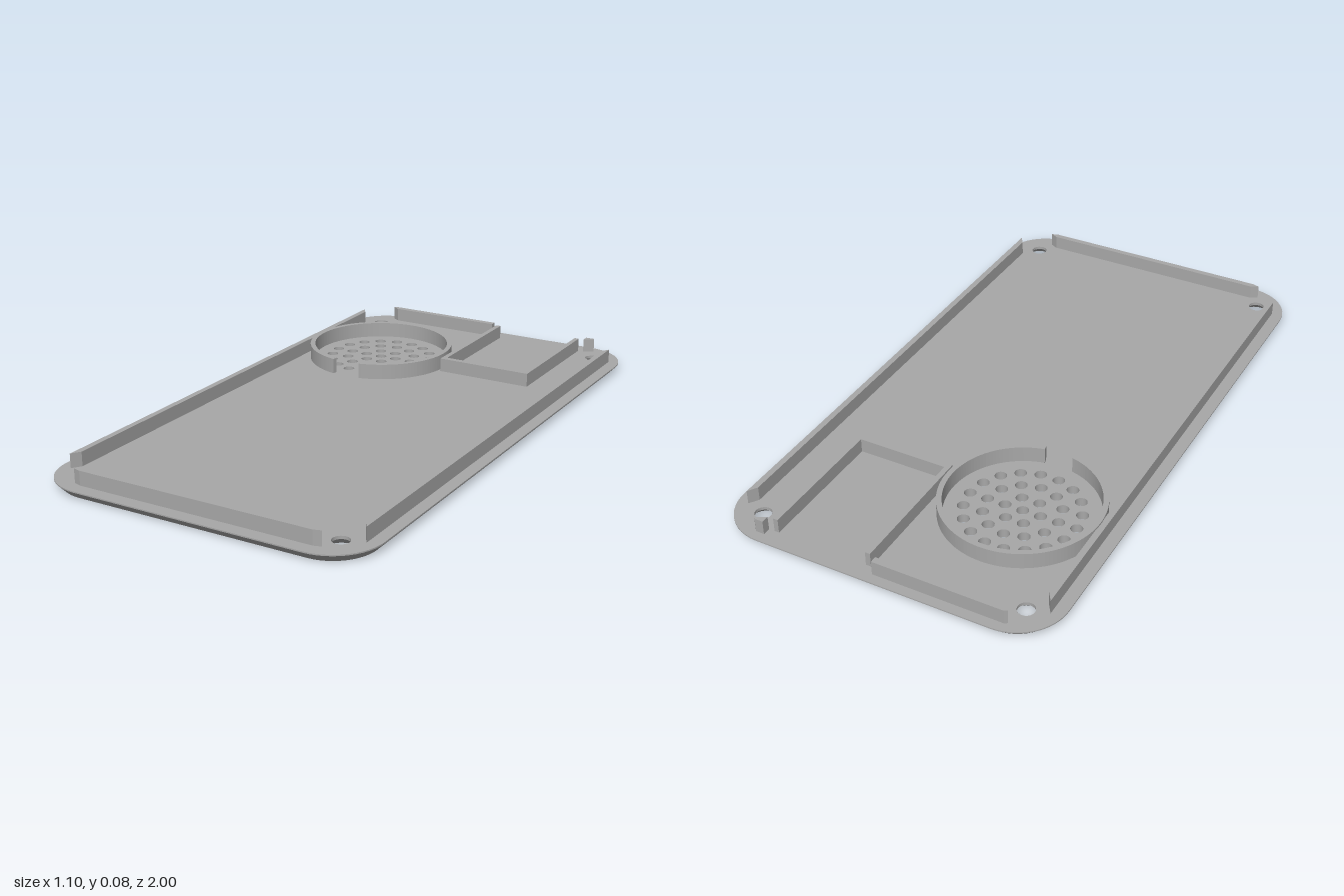
import * as THREE from 'three';

const TOP = 0.03, CHAMFER = 0.025, LIP = 0.026;   // plate heights
const RAIL_TOP = 0.077, RING_TOP = 0.083;
const SCREW = { x: 0.443, z: 0.89, r: 0.027, sink: 0.047 };
const SPEAKER = { x: -0.235, z: -0.521, hole: 0.0195 };

// Rounded rectangle outline, counter-clockwise, shrunk by inset
function outline(inset) {
  const w = 0.55, d = 1, r = 0.16, n = 12, pts = [];
  [[1, 1], [-1, 1], [-1, -1], [1, -1]].forEach(([sx, sy], c) => {
    for (let i = 0; i <= n; i++) {
      const a = (c + i / n) * Math.PI / 2;
      pts.push(new THREE.Vector2(sx * (w - r) + Math.cos(a) * (r - inset), sy * (d - r) + Math.sin(a) * (r - inset)));
    }
  });
  return pts;
}

// Speaker grille: a centre hole and three rings of 6, 12 and 18
function speakerHoles() {
  const list = [[SPEAKER.x, SPEAKER.z]];
  for (let k = 1; k <= 3; k++) {
    for (let i = 0; i < 6 * k; i++) {
      const a = i * Math.PI / (3 * k);
      list.push([SPEAKER.x + 0.06 * k * Math.cos(a), SPEAKER.z + 0.06 * k * Math.sin(a)]);
    }
  }
  return list;
}

function screwHoles() {
  return [-1, 1].flatMap(sx => [-1, 1].map(sz => [sx * SCREW.x, sz * SCREW.z]));
}

// Flat pierced face; side is 1 for the upper face, -1 for the lower one
function face(inset, screwRadius, y, side) {
  const shape = new THREE.Shape(outline(inset));
  const cut = (x, z, r) => shape.holes.push(new THREE.Path().absarc(x, -side * z, r, 0, Math.PI * 2, true));
  speakerHoles().forEach(([x, z]) => cut(x, z, SPEAKER.hole));
  screwHoles().forEach(([x, z]) => cut(x, z, screwRadius));
  return new THREE.ShapeGeometry(shape, 10).rotateX(-side * Math.PI / 2).translate(0, y, 0);
}

// Strip of wall between two outlines
function band(insetLow, yLow, insetHigh, yHigh) {
  const low = outline(insetLow), high = outline(insetHigh), n = low.length;
  const pos = [], index = [];
  low.forEach((p, i) => {
    pos.push(p.x, yLow, -p.y, high[i].x, yHigh, -high[i].y);
    const a = 2 * i, b = 2 * ((i + 1) % n);
    index.push(a, b, b + 1, a, b + 1, a + 1);
  });
  const g = new THREE.BufferGeometry();
  g.setAttribute('position', new THREE.Float32BufferAttribute(pos, 3));
  g.setIndex(index);
  g.computeVertexNormals();
  return g;
}

// Upright prism from a plan shape whose second coordinate is -z
function prism(shape, top) {
  return new THREE.ExtrudeGeometry(shape, { depth: top - TOP, bevelEnabled: false, curveSegments: 64 })
    .rotateX(-Math.PI / 2).translate(0, TOP, 0);
}

const plan = points => new THREE.Shape(points.map(([x, z]) => new THREE.Vector2(x, -z)));

export function createModel() {
  const group = new THREE.Group();
  const grey = new THREE.MeshStandardMaterial({ color: 0xa8a8a8, side: THREE.DoubleSide });
  grey.name = 'grey plastic';
  const add = (name, geometry, parent = group) => {
    const mesh = new THREE.Mesh(geometry, grey);
    mesh.name = name;
    parent.add(mesh);
    return mesh;
  };

  // Cover plate with a chamfered underside
  const plate = new THREE.Group();
  plate.name = 'coverPlate';
  group.add(plate);
  add('plateTop', face(0, SCREW.r, TOP, 1), plate);
  add('plateBottom', face(CHAMFER, SCREW.sink, 0, -1), plate);
  add('plateLip', band(0, LIP, 0, TOP), plate);
  add('plateChamfer', band(CHAMFER, 0, 0, LIP), plate);

  // Hole linings
  speakerHoles().forEach(([x, z]) => add('speakerHole',
    new THREE.CylinderGeometry(SPEAKER.hole, SPEAKER.hole, TOP, 20, 1, true).translate(x, TOP / 2, z), plate));
  screwHoles().forEach(([x, z]) => {
    add('countersink', new THREE.CylinderGeometry(SCREW.r, SCREW.sink, 0.02, 24, 1, true).translate(x, 0.01, z), plate);
    add('screwHole', new THREE.CylinderGeometry(SCREW.r, SCREW.r, 0.01, 24, 1, true).translate(x, 0.025, z), plate);
  });

  // Side rails, mitred at both ends
  for (const s of [-1, 1]) {
    add(s > 0 ? 'leftRail' : 'rightRail', prism(plan([
      [s * 0.51, -0.875], [s * 0.49, -0.845], [s * 0.49, 0.84], [s * 0.51, 0.87]]), RAIL_TOP));
  }

  // Front rail, the back rail and its short remainder
  add('frontRail', prism(plan([[-0.425, 0.95], [-0.4, 0.957], [0.395, 0.957], [0.42, 0.95],
    [0.395, 0.937], [-0.4, 0.937]]), RAIL_TOP));
  add('backRail', prism(plan([[-0.425, -0.962], [-0.4, -0.946], [0.01, -0.946], [0.01, -0.968], [-0.415, -0.968]]), RAIL_TOP));
  add('backRailStub', prism(plan([[0.384, -0.968], [0.384, -0.943], [0.418, -0.962], [0.412, -0.968]]), RAIL_TOP));

  // Speaker ring, open towards the front
  const ring = new THREE.Shape();
  const gap = 0.2, start = -Math.PI / 2 + gap, end = Math.PI * 1.5 - gap;
  ring.absarc(SPEAKER.x, -SPEAKER.z, 0.257, start, end, false);
  ring.absarc(SPEAKER.x, -SPEAKER.z, 0.24, end, start, true);
  ring.closePath();
  add('speakerRing', prism(ring, RING_TOP));

  // Three-sided compartment, open at the back
  add('compartmentWall', prism(plan([[0.03, -0.942], [0.03, -0.48], [0.365, -0.48], [0.365, -0.942],
    [0.349, -0.942], [0.349, -0.5], [0.047, -0.5], [0.047, -0.942]]), RAIL_TOP));

  return group;
}
